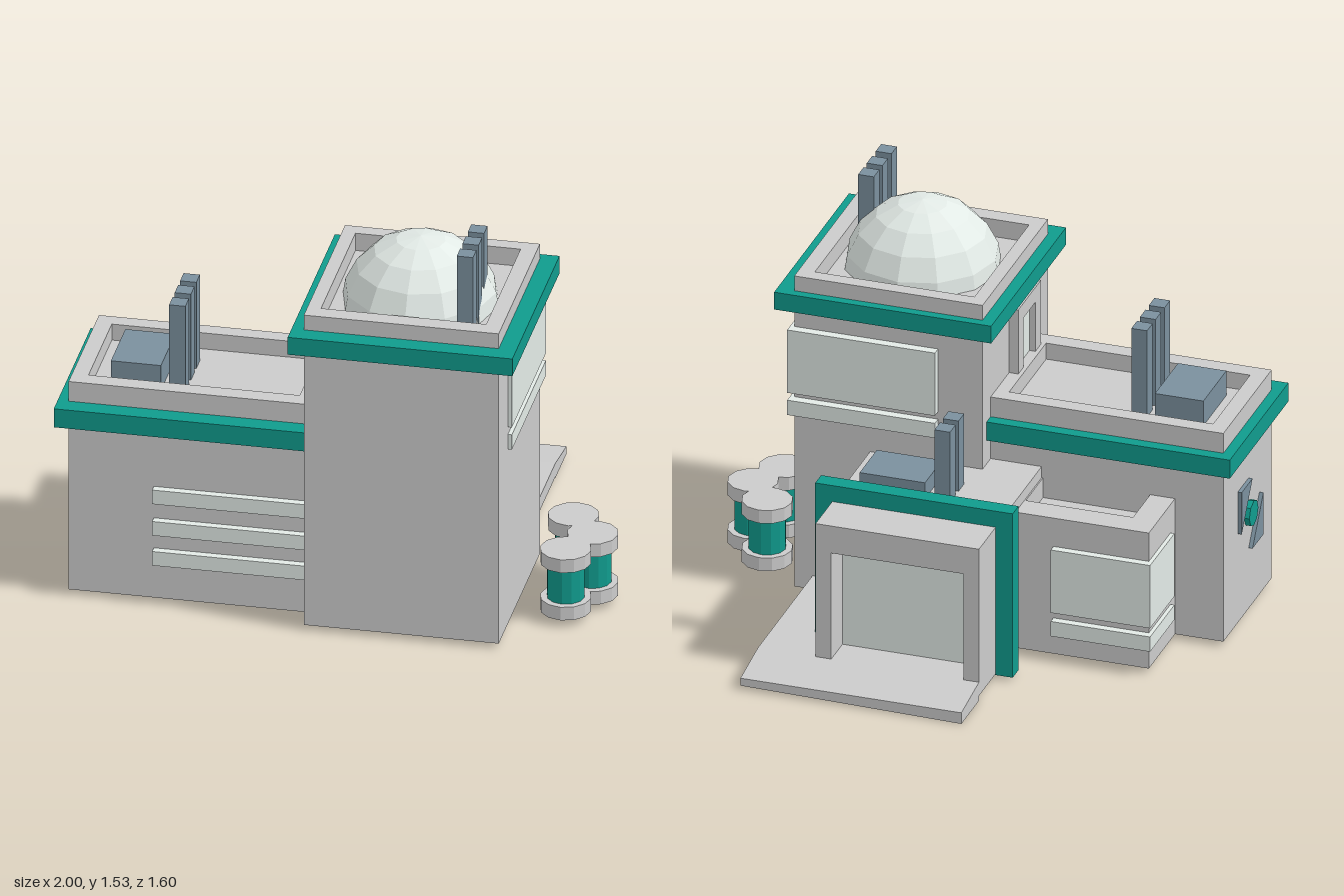
import * as THREE from 'three';

const mat = (color, extra = {}) => new THREE.MeshStandardMaterial({ color, ...extra });
const GREY = mat(0xcccccc);
const TEAL = mat(0x109b8d);
const SLATE = mat(0x7b909e);
const GLASS = mat(0xe2eae6);
const GREY_FLAT = mat(0xcccccc, { flatShading: true });
const TEAL_FLAT = mat(0x109b8d, { flatShading: true });
const GLASS_FLAT = mat(0xe2eae6, { flatShading: true });

function add(parent, name, geometry, material) {
  const mesh = new THREE.Mesh(geometry, material);
  mesh.name = name;
  parent.add(mesh);
  return mesh;
}

// Box given by its extents on each axis
function box(parent, name, material, [x0, x1], [y0, y1], [z0, z1]) {
  const mesh = add(parent, name, new THREE.BoxGeometry(x1 - x0, y1 - y0, z1 - z0), material);
  mesh.position.set((x0 + x1) / 2, (y0 + y1) / 2, (z0 + z1) / 2);
  return mesh;
}

function polygon(points) {
  return new THREE.Shape(points.map(([x, y]) => new THREE.Vector2(x, y)));
}

function rect([x0, x1], [y0, y1]) {
  return polygon([[x0, y0], [x1, y0], [x1, y1], [x0, y1]]);
}

function extrude(shape, depth) {
  return new THREE.ExtrudeGeometry(shape, { depth, bevelEnabled: false });
}

// Block with a sunken roof behind a parapet
function roofedBlock(parent, name, xs, [y0, floor, top], zs, innerX, innerZ) {
  const group = new THREE.Group();
  group.name = name;
  parent.add(group);
  box(group, name + 'Walls', GREY, xs, [y0, floor], zs);
  const flip = ([a, b]) => [-b, -a];
  const ring = rect(xs, flip(zs));
  ring.holes.push(rect(innerX, flip(innerZ)));
  const parapet = add(group, name + 'Parapet', extrude(ring, top - floor), GREY);
  parapet.rotation.x = -Math.PI / 2;
  parapet.position.y = floor;
  return group;
}

// Door surround with a glazed panel set back inside, facing +z before turning
function doorway(parent, name, w, h, jamb, lintel, depth, panelDepth) {
  const group = new THREE.Group();
  group.name = name;
  parent.add(group);
  const a = w / 2, b = a - jamb, t = h - lintel;
  const frame = polygon([[-a, 0], [-b, 0], [-b, t], [b, t], [b, 0], [a, 0], [a, h], [-a, h]]);
  add(group, name + 'Frame', extrude(frame, depth), GREY);
  box(group, name + 'Panel', GLASS, [-b, b], [0, t], [0, panelDepth]);
  return group;
}

export function createModel() {
  const model = new THREE.Group();
  model.name = 'building';

  // Main tower with its trim, corner windows and dome
  roofedBlock(model, 'tower', [-0.07, 0.65], [0.02, 1.21, 1.28], [0, 0.725], [-0.02, 0.59], [0.055, 0.66]);
  const towerTrim = rect([-0.115, 0.715], [-0.795, 0.035]);
  towerTrim.holes.push(rect([-0.06, 0.64], [-0.715, -0.01]));
  const trim = add(model, 'towerTrim', extrude(towerTrim, 0.07), TEAL);
  trim.rotation.x = -Math.PI / 2;
  trim.position.y = 1.15;
  for (const ys of [[0.82, 1.075], [0.73, 0.79]]) {
    box(model, 'towerCornerWindow', GLASS, [0.1, 0.665], ys, [-0.035, 0.565]);
  }
  const dome = add(model, 'dome',
    new THREE.SphereGeometry(0.293, 12, 5, 0, Math.PI * 2, 0, Math.PI / 2), GLASS_FLAT);
  dome.position.set(0.29, 1.175, 0.38);
  for (const z of [0.405, 0.5, 0.6]) {
    box(model, 'towerChimney', SLATE, [0.475, 0.535], [1.2, 1.53], [z - 0.03, z + 0.03]);
  }

  // Side wing with trim, slit windows and roof machinery
  roofedBlock(model, 'wing', [-0.96, -0.07], [0.02, 0.8, 0.865], [0.09, 0.625], [-0.9, -0.12], [0.15, 0.56]);
  const wingTrim = rect([-1, -0.06], [-0.695, -0.045]);
  wingTrim.holes.push(rect([-0.95, -0.08], [-0.615, -0.1]));
  const band = add(model, 'wingTrim', extrude(wingTrim, 0.075), TEAL);
  band.rotation.x = -Math.PI / 2;
  band.position.y = 0.71;
  for (const y of [0.165, 0.287, 0.415]) {
    box(model, 'slitWindow', GLASS, [-0.645, -0.06], [y, y + 0.057], [0.6, 0.655]);
  }
  box(model, 'wingRoofUnit', SLATE, [-0.83, -0.645], [0.79, 0.9], [0.245, 0.5]);
  for (const z of [0.275, 0.37, 0.468]) {
    box(model, 'wingChimney', SLATE, [-0.615, -0.555], [0.79, 1.15], [z - 0.031, z + 0.031]);
  }

  // Round and triangular plates on the end wall
  const plates = [
    [[0.25, 0.55], [0.37, 0.55], [0.25, 0.38]],
    [[0.49, 0.265], [0.49, 0.435], [0.37, 0.265]],
  ];
  for (const points of plates) {
    const plate = add(model, 'wallPlate', extrude(polygon(points), 0.015), SLATE);
    plate.rotation.y = -Math.PI / 2;
    plate.position.x = -0.96;
  }
  const disc = add(model, 'wallDisc', new THREE.CylinderGeometry(0.05, 0.05, 0.03, 8), TEAL_FLAT);
  disc.rotation.z = Math.PI / 2;
  disc.position.set(-0.965, 0.41, 0.37);

  // Rear annex with a wrapped corner window
  roofedBlock(model, 'annex', [-0.775, -0.26], [0.02, 0.49, 0.57], [-0.2, 0.1], [-0.68, -0.27], [-0.1, 0.09]);
  for (const ys of [[0.2, 0.455], [0.105, 0.165]]) {
    box(model, 'annexCornerWindow', GLASS, [-0.79, -0.41], ys, [-0.23, 0.04]);
  }

  // Entrance hall, its porch opening and the teal arch
  box(model, 'entranceHall', GREY, [-0.265, 0.36], [0.02, 0.615], [-0.47, 0.1]);
  box(model, 'platform', GREY, [-0.265, 0.58], [0.02, 0.075], [-0.605, 0.01]);
  const porch = doorway(model, 'porch', 0.625, 0.54, 0.06, 0.11, 0.135, 0.01);
  porch.rotation.y = Math.PI;
  porch.position.set(0.0475, 0.075, -0.47);
  box(model, 'entranceArch', TEAL, [-0.33, 0.425], [0.015, 0.68], [-0.42, -0.355]);
  box(model, 'hallRoofUnit', SLATE, [0.05, 0.3], [0.6, 0.68], [-0.29, -0.1]);
  for (const z of [-0.257, -0.163]) {
    box(model, 'hallChimney', SLATE, [-0.045, 0.015], [0.6, 0.9], [z - 0.031, z + 0.031]);
  }

  // Sloping entrance ramp
  const ramp = new THREE.BoxGeometry(0.845, 1, 0.195);
  const p = ramp.attributes.position;
  for (let i = 0; i < p.count; i++) {
    const outer = p.getZ(i) < 0;
    const y = p.getY(i) > 0 ? (outer ? 0.045 : 0.075) : (p.getX(i) < 0 ? 0 : 0.015);
    p.setY(i, y);
  }
  ramp.computeVertexNormals();
  add(model, 'ramp', ramp, GREY_FLAT).position.set(0.1575, 0, -0.7025);

  // Side doors
  const hallDoor = doorway(model, 'hallDoor', 0.25, 0.315, 0.06, 0.06, 0.05, 0.02);
  hallDoor.rotation.y = Math.PI / 2;
  hallDoor.position.set(0.36, 0.075, -0.195);
  const roofDoor = doorway(model, 'roofDoor', 0.25, 0.325, 0.06, 0.06, 0.035, 0.012);
  roofDoor.rotation.y = -Math.PI / 2;
  roofDoor.position.set(-0.07, 0.8, 0.42);

  // Storage barrels
  for (const [x, z] of [[0.806, 0.153], [0.904, 0.28], [0.834, 0.422]]) {
    const barrel = new THREE.Group();
    barrel.name = 'barrel';
    barrel.position.set(x, 0, z);
    model.add(barrel);
    for (const y of [0.055, 0.248]) {
      add(barrel, 'barrelCap', new THREE.CylinderGeometry(0.094, 0.094, 0.053, 12), GREY_FLAT).position.y = y;
    }
    add(barrel, 'barrelBody', new THREE.CylinderGeometry(0.069, 0.069, 0.16, 12), TEAL_FLAT).position.y = 0.15;
  }

  return model;
}
